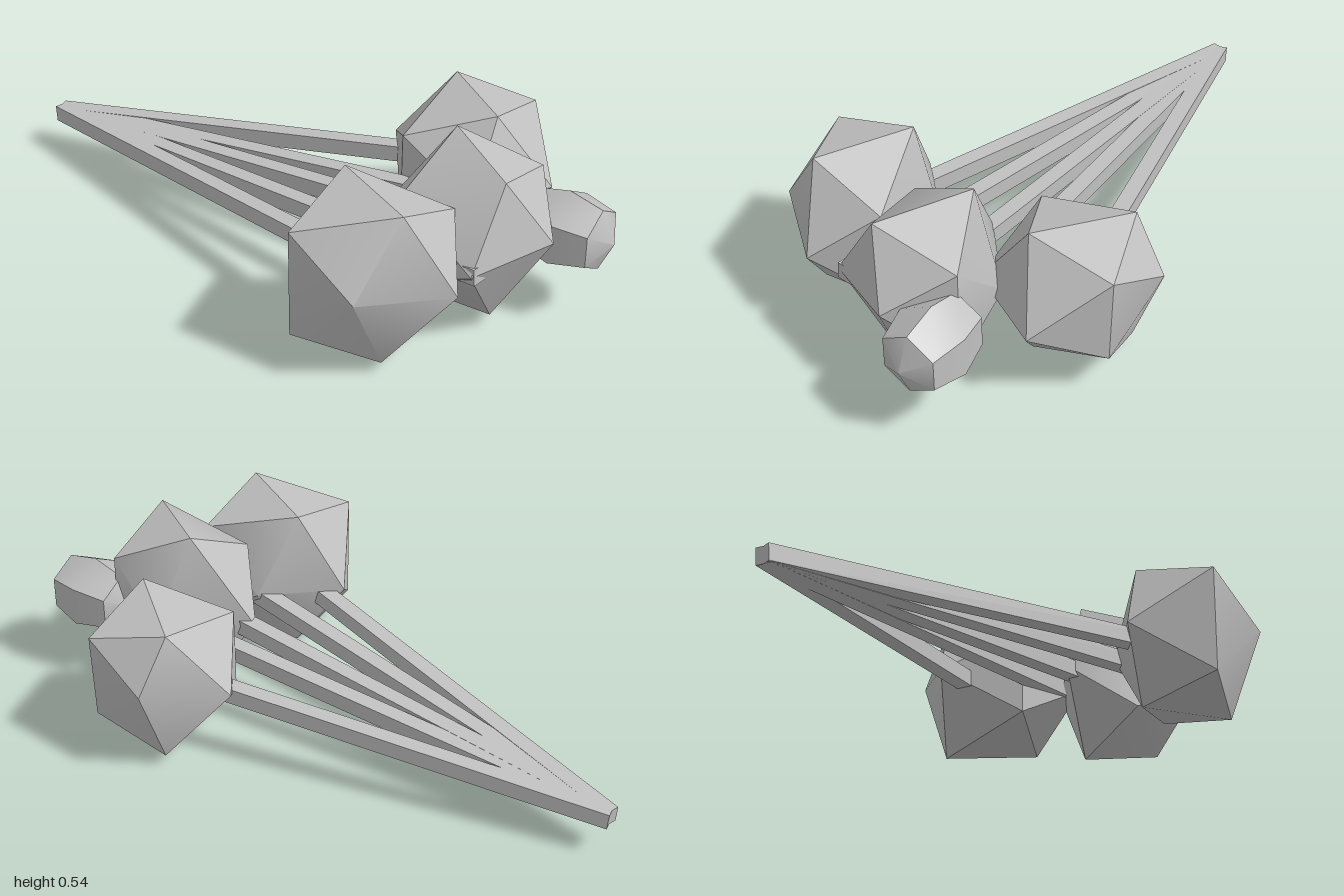
import * as THREE from 'three';
import { toCreasedNormals } from 'three/addons/utils/BufferGeometryUtils.js';
import { ConvexGeometry } from 'three/addons/geometries/ConvexGeometry.js';

// Corners of each twenty-sided bloom: two tips, then the two rings of five between them
const blooms = {
  backBloom: [
    [0.68, 0.25, -0.365], [0.12, 0.27, -0.35],
    [0.53, 0.49, -0.27], [0.51, 0.42, -0.54], [0.51, 0.14, -0.53], [0.53, 0.07, -0.28], [0.55, 0.27, -0.11],
    [0.28, 0.40, -0.14], [0.28, 0.12, -0.14], [0.29, 0.04, -0.47], [0.29, 0.31, -0.57], [0.27, 0.48, -0.46],
  ],
  middleBloom: [
    [0.88, 0.31, -0.01], [0.32, 0.25, 0.01],
    [0.77, 0.52, 0.09], [0.76, 0.28, 0.24], [0.73, 0.045, 0.065], [0.74, 0.12, -0.18], [0.74, 0.44, -0.18],
    [0.48, 0.42, 0.17], [0.48, 0.12, 0.17], [0.51, 0.003, -0.065], [0.56, 0.27, -0.2], [0.51, 0.545, -0.07],
  ],
  frontBloom: [
    [0.78, 0.28, 0.34], [0.21, 0.27, 0.33],
    [0.64, 0.525, 0.41], [0.59, 0.30, 0.57], [0.60, 0.04, 0.44], [0.64, 0.11, 0.16], [0.65, 0.43, 0.16],
    [0.36, 0.445, 0.555], [0.36, 0.10, 0.55], [0.36, 0.05, 0.27], [0.41, 0.27, 0.13], [0.35, 0.52, 0.27],
  ],
};

// Where each stem ends; all start at the same root
const stemEnds = [
  [0.42, 0.26, -0.36],
  [0.80, 0.28, -0.16],
  [0.60, 0.265, 0.005],
  [0.77, 0.28, 0.208],
  [0.50, 0.265, 0.35],
];

export function createModel() {
  const group = new THREE.Group();
  const grey = new THREE.MeshStandardMaterial({ color: 0xc0c0c0 });
  grey.name = 'plain grey';

  const add = (geometry, name) => {
    const mesh = new THREE.Mesh(geometry, grey);
    mesh.name = name;
    group.add(mesh);
    return mesh;
  };

  // Large faceted blooms, smooth across their shallow edges
  for (const [name, corners] of Object.entries(blooms)) {
    const hull = new ConvexGeometry(corners.map((c) => new THREE.Vector3(...c)));
    add(toCreasedNormals(hull, 0.62), name);
  }

  // Small six-sided bud pointing along +x
  const profile = [[0, -0.155], [0.1, -0.11], [0.128, 0], [0.1, 0.11], [0, 0.155]];
  const bud = new THREE.LatheGeometry(profile.map((p) => new THREE.Vector2(...p)), 6, Math.PI / 2);
  bud.rotateZ(-Math.PI / 2);
  add(toCreasedNormals(bud, 0.5), 'smallBud').position.set(0.84, 0.268, -0.165);

  // Square stems fanning out from the root
  const root = new THREE.Vector3(-0.997, 0.13, 0);
  stemEnds.forEach((end, i) => {
    const tip = new THREE.Vector3(...end);
    const length = root.distanceTo(tip);
    const geometry = new THREE.BoxGeometry(0.052, 0.052, length);
    geometry.translate(0, 0, length / 2);
    const stem = add(geometry, 'stem' + (i + 1));
    stem.position.copy(root);
    stem.lookAt(tip);
  });

  return group;
}
